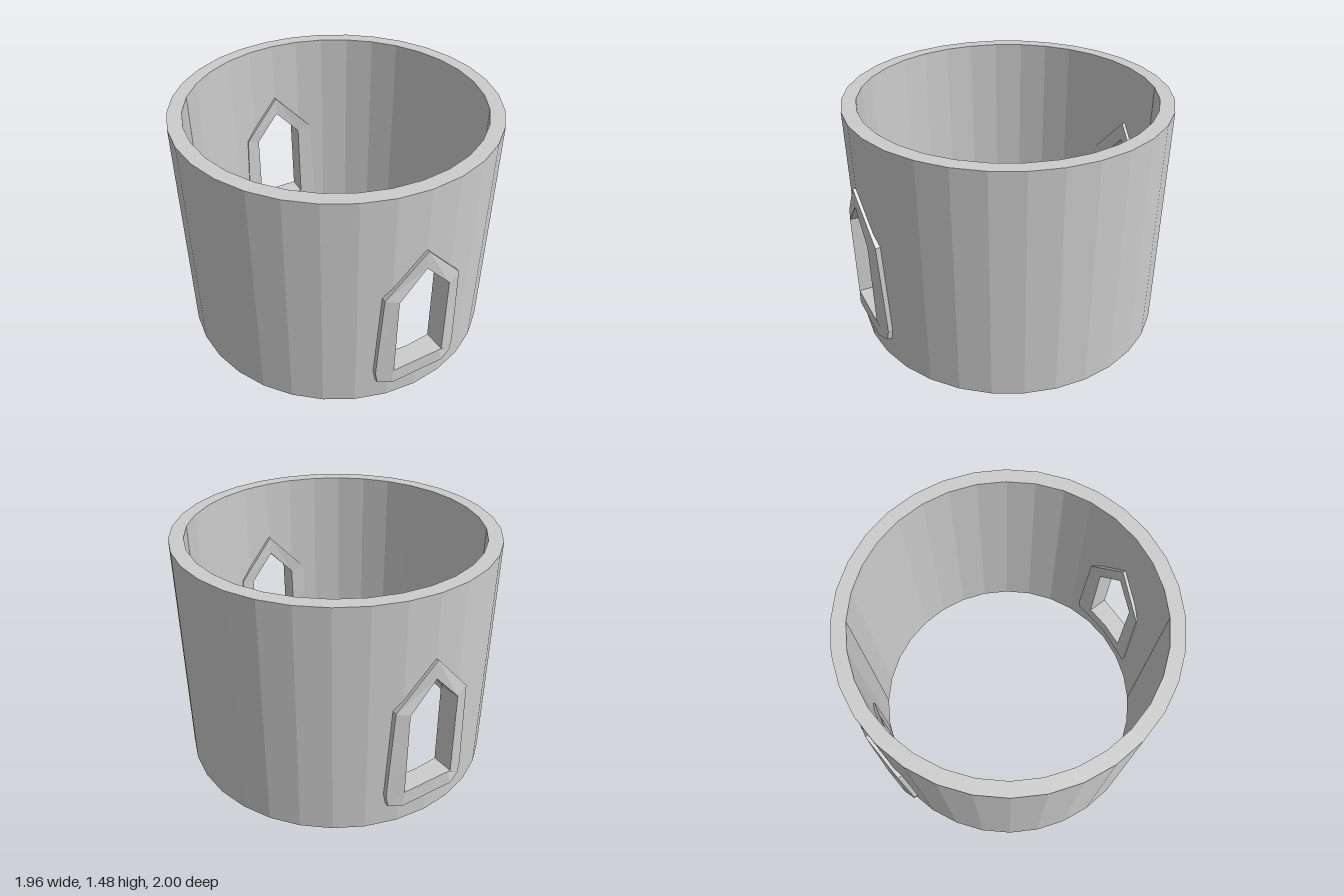
import * as THREE from 'three';

const HEIGHT = 1.48, R_OUT = 0.982, R_IN = 0.895, SIDES = 32;

// Builds a flat-shaded geometry from counter-clockwise quads
function quadGeometry(quads) {
  const positions = [];
  for (const [a, b, c, d] of quads) positions.push(...a, ...b, ...c, ...a, ...c, ...d);
  const geometry = new THREE.BufferGeometry();
  geometry.setAttribute('position', new THREE.Float32BufferAttribute(positions, 3));
  geometry.computeVertexNormals();
  return geometry;
}

// Faceted ring wall, with the panels at front and back left open behind the window frames
function wallGeometry() {
  const quads = [];
  const at = (i, r, y) => {
    const a = (i / SIDES) * Math.PI * 2;
    return [r * Math.sin(a), y, r * Math.cos(a)];
  };
  const band = (i, low0, low1, high0, high1) => {
    const j = i + 1;
    quads.push([at(i, R_OUT, low0), at(j, R_OUT, low1), at(j, R_OUT, high1), at(i, R_OUT, high0)]);
    quads.push([at(j, R_IN, low1), at(i, R_IN, low0), at(i, R_IN, high0), at(j, R_IN, high1)]);
  };
  const archAt = (i) => (i % 16 === 0 ? 1.03 : 0.83);
  for (let i = 0; i < SIDES; i++) {
    const j = i + 1;
    if (i % 16 === 0 || j % 16 === 0) {
      band(i, 0, 0, 0.19, 0.19); // below the sill
      band(i, archAt(i), archAt(j), HEIGHT, HEIGHT); // above the arch
    } else {
      band(i, 0, 0, HEIGHT, HEIGHT);
    }
    quads.push([at(i, R_OUT, HEIGHT), at(j, R_OUT, HEIGHT), at(j, R_IN, HEIGHT), at(i, R_IN, HEIGHT)]);
    quads.push([at(i, R_IN, 0), at(j, R_IN, 0), at(j, R_OUT, 0), at(i, R_OUT, 0)]);
  }
  return quadGeometry(quads);
}

// Pointed frame running through the wall: four-cornered sections swept round the opening
function frameGeometry() {
  // outer x, outer y, opening x, opening y, from the point down to the sill
  const half = [
    [0, 1.09, 0, 0.97],
    [0.245, 0.82, 0.165, 0.79],
    [0.275, 0.23, 0.17, 0.26],
    [0.262, 0.155, 0.17, 0.24],
    [0.18, 0.138, 0.15, 0.24],
    [0, 0.138, 0, 0.24],
  ];
  const mirrored = half.slice(1, -1).reverse().map(([a, b, c, d]) => [-a, b, -c, d]);
  const frontZ = (x) => 1 - Math.max(0, Math.abs(x) - 0.18) * 0.37;
  const backZ = (x) => 0.876 - 0.48 * x * x;
  const sections = [...half, ...mirrored].map(([ox, oy, ix, iy]) => [
    [ox, oy, frontZ(ox)],
    [ix, iy, frontZ(ix)],
    [ix * 0.965, iy, backZ(ix)],
    [ox, oy, backZ(ox)],
  ]);
  const quads = [];
  sections.forEach((s, k) => {
    const n = sections[(k + 1) % sections.length];
    for (let c = 0; c < 4; c++) {
      const d = (c + 1) % 4;
      quads.push([s[c], s[d], n[d], n[c]]);
    }
  });
  return quadGeometry(quads);
}

export function createModel() {
  const model = new THREE.Group();
  model.name = 'roundTowerSection';

  const stone = new THREE.MeshStandardMaterial({ color: 0xcccccc });
  stone.name = 'paleGreyStone';

  const wall = new THREE.Mesh(wallGeometry(), stone);
  wall.name = 'ringWall';
  model.add(wall);

  // Matching windows on opposite sides
  const frame = frameGeometry();
  ['frontWindowFrame', 'backWindowFrame'].forEach((name, i) => {
    const mesh = new THREE.Mesh(frame, stone);
    mesh.name = name;
    mesh.rotation.y = i * Math.PI;
    model.add(mesh);
  });
  return model;
}
